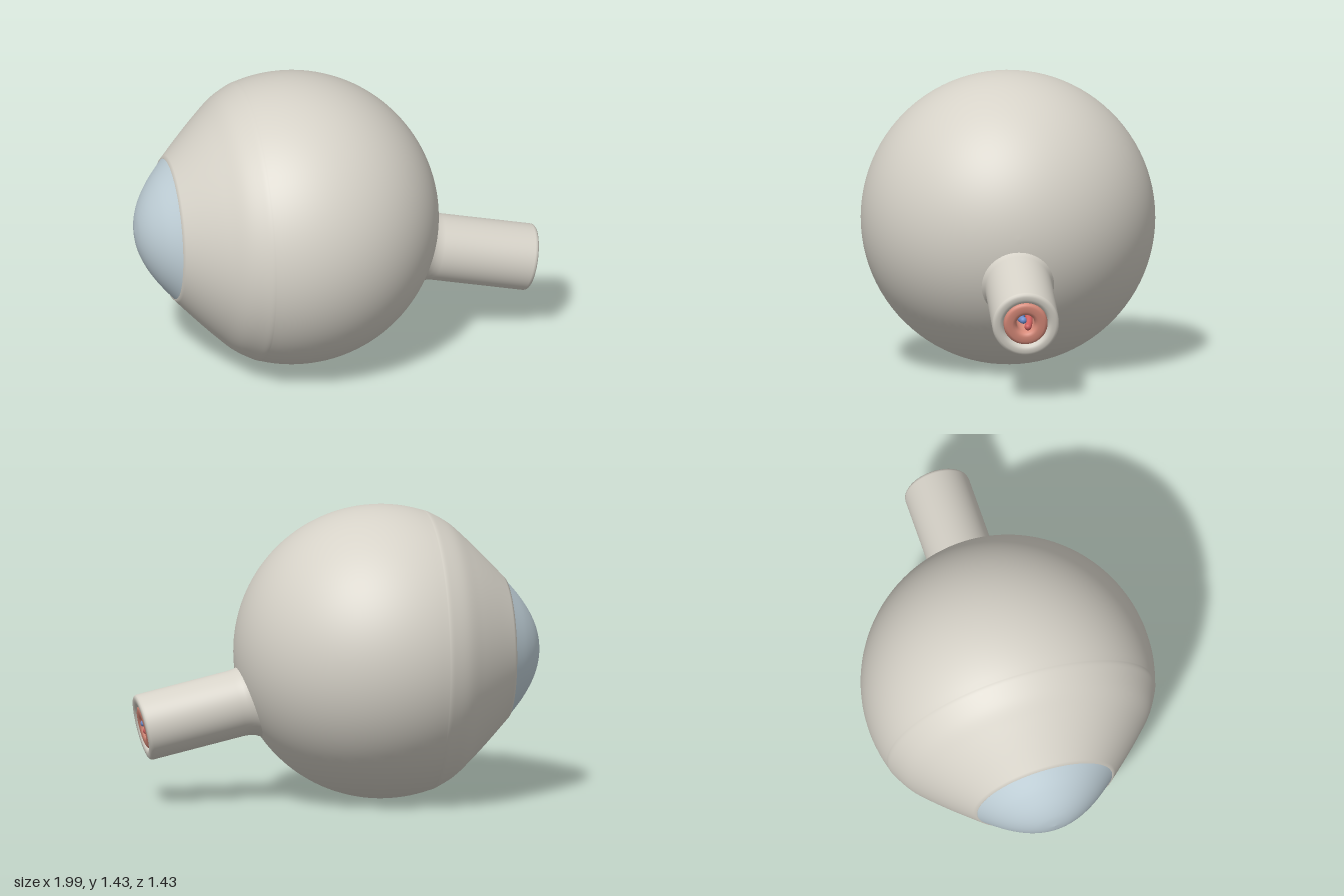
import * as THREE from 'three';

const mat = (color) => new THREE.MeshStandardMaterial({ color, roughness: 0.6, side: THREE.DoubleSide });
const vec = (list) => list.map(([r, y]) => new THREE.Vector2(r, y));

function lathe(name, points, material, segments = 96) {
  const mesh = new THREE.Mesh(new THREE.LatheGeometry(points, segments), material);
  mesh.name = name;
  return mesh;
}

export function createModel() {
  const model = new THREE.Group();
  model.name = 'eyeball';
  const white = mat(0xd6d2c8);
  const radius = 0.715;

  // Globe and cornea share one axis, which points towards -x
  const globe = new THREE.Group();
  globe.name = 'globe';
  globe.position.y = radius;
  globe.rotation.z = Math.PI / 2;
  model.add(globe);

  // Sclera: a spherical back that tapers to the cornea rim
  const profile = [];
  for (let i = 0; i <= 44; i++) {
    const a = THREE.MathUtils.degToRad(-90 + i * 2.5);
    profile.push(new THREE.Vector2(Math.max(0, radius * Math.cos(a)), 0.22 + radius * Math.sin(a)));
  }
  const taper = new THREE.SplineCurve([
    profile[43], profile[44],
    ...vec([[0.623, 0.55], [0.552, 0.63], [0.463, 0.72], [0.347, 0.83]]),
  ]);
  profile.splice(43, 2, ...taper.getPoints(30));
  profile.push(new THREE.Vector2(0.335, 0.825));
  globe.add(lathe('sclera', profile, white));

  // Cornea: bulging cap
  const cap = new THREE.SplineCurve(vec([
    [0.343, 0.828], [0.257, 0.9], [0.17, 0.955], [0.085, 0.988], [0, 1],
  ]));
  globe.add(lathe('cornea', cap.getPoints(28), mat(0xc0d0d8)));

  // Optic nerve: local y runs outwards, with y = 0 at the cut end
  const nerve = new THREE.Group();
  nerve.name = 'opticNerve';
  nerve.position.set(0.962, 0.37, 0);
  nerve.rotation.z = THREE.MathUtils.degToRad(-103);
  model.add(nerve);

  // Sheath with a flared root and a rounded rim
  nerve.add(lathe('nerveSheath', vec([
    [0.21, -0.59], [0.187, -0.56], [0.173, -0.535], [0.166, -0.51], [0.163, -0.48],
    [0.163, -0.02], [0.161, -0.01], [0.155, -0.003], [0.145, 0], [0.13, 0],
    [0.118, -0.004], [0.11, -0.014], [0.107, -0.03], [0.107, -0.3],
  ]), white, 64));

  // Core with a rounded face and a central canal
  nerve.add(lathe('nerveCore', vec([
    [0.107, -0.3], [0.107, -0.02], [0.102, -0.009], [0.09, -0.004], [0.066, -0.004],
    [0.053, -0.009], [0.046, -0.02], [0.044, -0.035], [0.044, -0.2], [0, -0.2],
  ]), mat(0xd98b7a), 64));

  // Vein and artery twisting around each other in the canal
  [['vein', 0x6f8fd0, 2.55], ['artery', 0xd0605f, 2.55 + Math.PI]].forEach(([name, color, start]) => {
    const path = [];
    for (let i = 0; i <= 10; i++) {
      const a = start - i * 0.25;
      path.push(new THREE.Vector3(0.021 * Math.cos(a), -0.02 - i * 0.018, 0.021 * Math.sin(a)));
    }
    const material = mat(color);
    const vessel = new THREE.Group();
    vessel.name = name;
    const tube = new THREE.Mesh(
      new THREE.TubeGeometry(new THREE.CatmullRomCurve3(path), 30, 0.017, 14), material);
    const end = new THREE.Mesh(new THREE.SphereGeometry(0.017, 14, 10), material);
    tube.name = name + 'Tube';
    end.name = name + 'End';
    end.position.copy(path[0]);
    vessel.add(tube, end);
    nerve.add(vessel);
  });

  return model;
}
